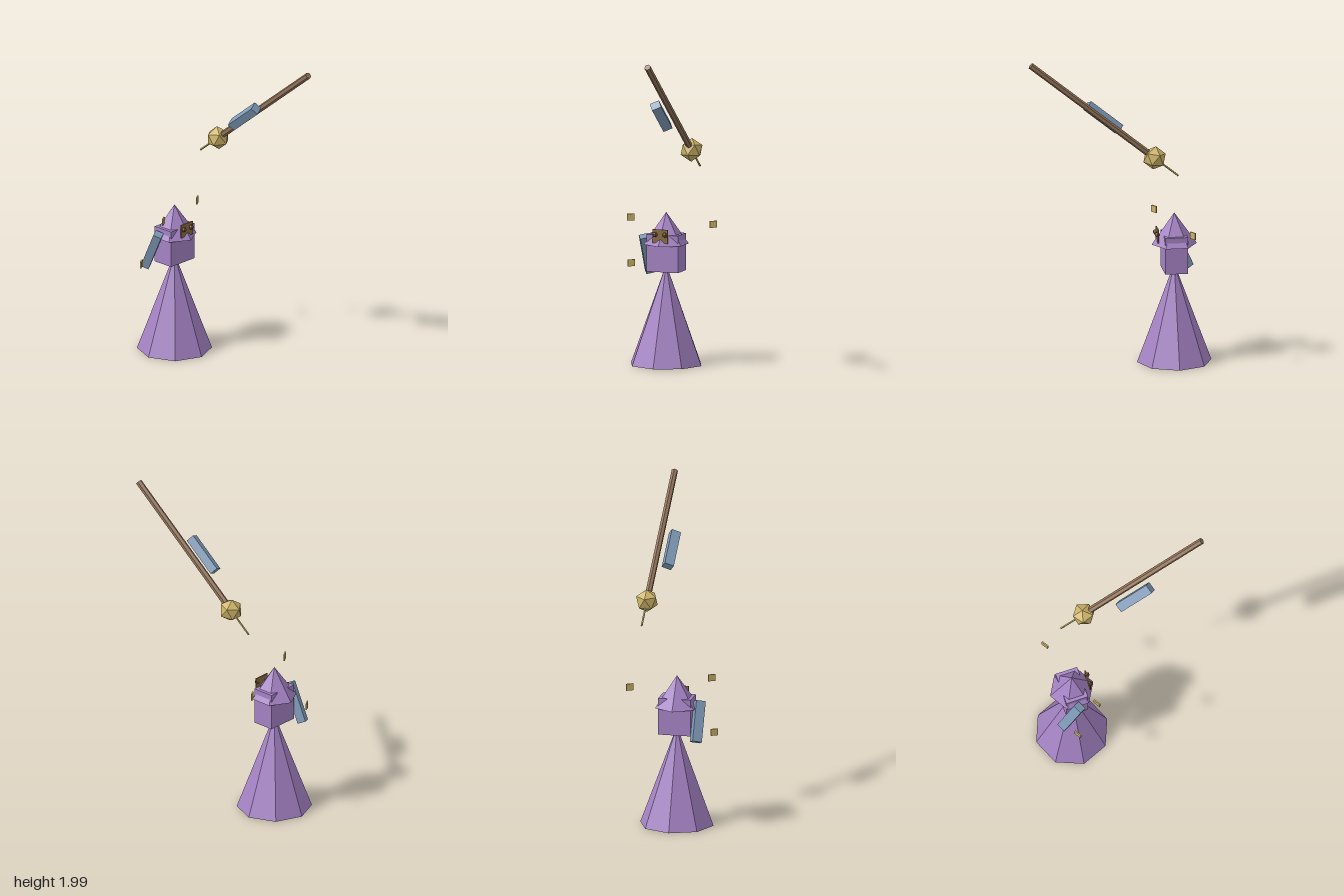
import * as THREE from 'three';

const paint = (name, color) => {
  const m = new THREE.MeshStandardMaterial({ color, flatShading: true });
  m.name = name;
  return m;
};

export function createModel() {
  const purple = paint('purple cloth', 0xa583c5);
  const blue = paint('slate blue', 0x7f9ab8);
  const gold = paint('gold', 0xcdb468);
  const wood = paint('staff wood', 0x92745a);
  const brown = paint('mask brown', 0x8b6b42);
  const dark = paint('eye brown', 0x6a4e30);

  const model = new THREE.Group();
  const add = (name, geometry, material, x, y, z, parent = model) => {
    const mesh = new THREE.Mesh(geometry, material);
    mesh.name = name;
    mesh.position.set(x, y, z);
    parent.add(mesh);
    return mesh;
  };

  // Robe, torso block and pointed hood share one axis
  const cx = -0.02, cz = -0.355;
  add('robe', new THREE.ConeGeometry(0.23, 0.62, 8), purple, cx, 0.31, cz);
  add('torso', new THREE.BoxGeometry(0.205, 0.23, 0.14), purple, cx, 0.693, cz);
  add('hood', new THREE.ConeGeometry(0.14, 0.198, 6), purple, cx, 0.843, cz);

  // Mask cut by the front ridge of the hood, with two eyes
  add('mask', new THREE.BoxGeometry(0.1, 0.085, 0.008), brown, cx, 0.805, -0.25);
  for (const side of [-1, 1]) {
    add('eye', new THREE.SphereGeometry(0.016, 6, 5), dark, cx + side * 0.032, 0.815, -0.244);
  }

  // Arms: twisted blocks tilted forward
  const armGeometry = new THREE.BoxGeometry(0.06, 0.255, 0.052);
  const addArm = (name, x, y, z, tilt) => {
    add(name, armGeometry, blue, x, y, z).rotation.set(tilt, Math.PI / 6, 0);
  };
  addArm('rightArm', -0.163, 0.67, -0.407, 0.436);
  addArm('leftArm', 0.12, 1.607, 0.105, 0.892);

  // Floating charms
  const charmGeometry = new THREE.BoxGeometry(0.046, 0.042, 0.008);
  for (const [x, y, z] of [[-0.217, 0.913, -0.26], [0.26, 0.87, -0.43], [-0.265, 0.608, -0.4]]) {
    add('charm', charmGeometry, gold, x, y, z).rotation.y = 0.56;
  }

  // Raised staff with faceted orb and thin spike
  const staff = new THREE.Group();
  staff.name = 'staff';
  staff.position.set(0.204, 1.36, -0.2);
  staff.rotation.x = 0.892;
  model.add(staff);
  add('staffPole', new THREE.CylinderGeometry(0.02, 0.02, 0.985, 6), wood, 0, 0.4925, 0, staff);
  add('staffOrb', new THREE.IcosahedronGeometry(0.073, 0), gold, 0, 0, 0, staff);
  add('staffSpike', new THREE.CylinderGeometry(0.006, 0.006, 0.19, 5), gold, 0, -0.095, 0, staff);

  return model;
}
